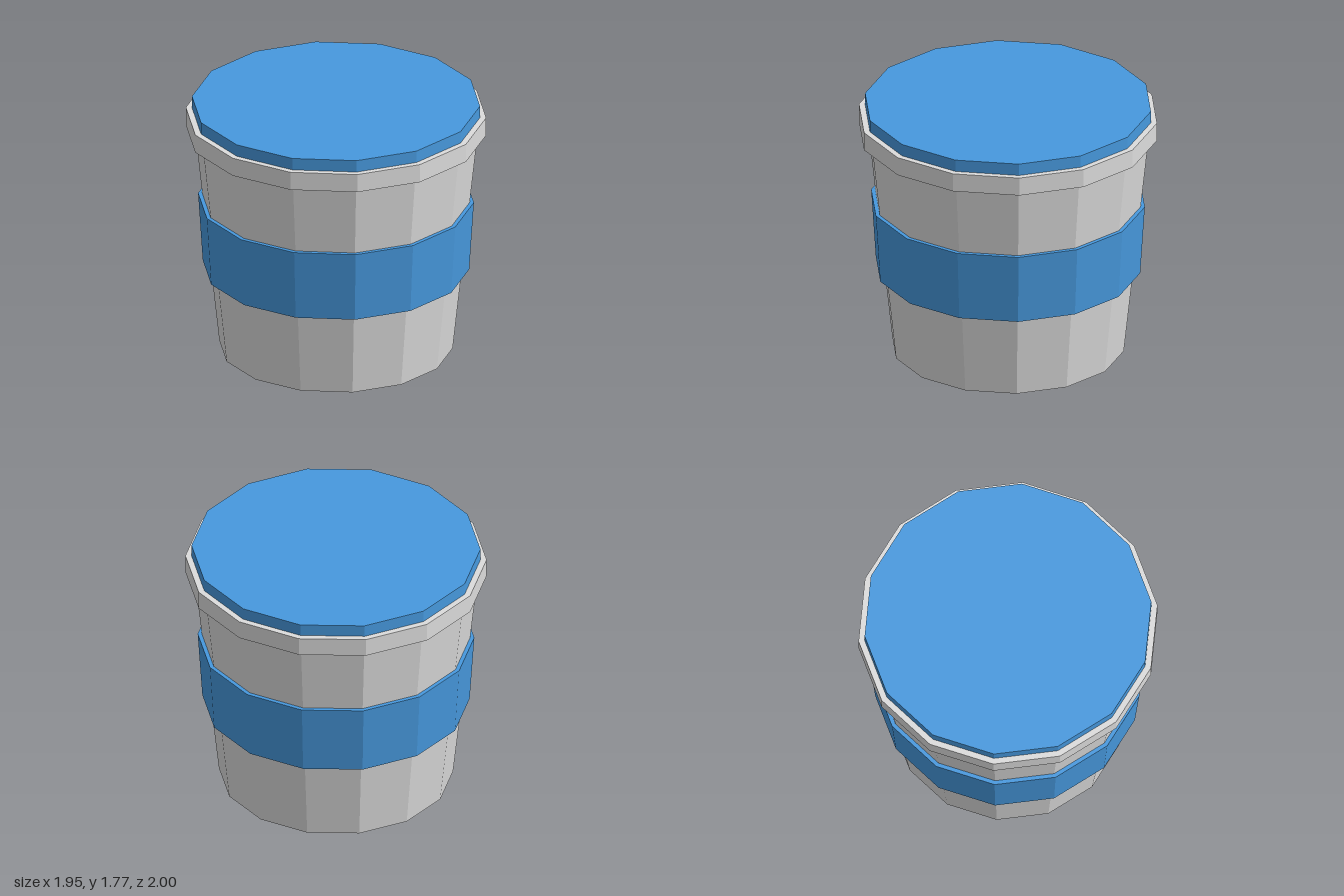
import * as THREE from 'three';

const SIDES = 14;

export function createModel() {
  const group = new THREE.Group();
  const grey = new THREE.MeshStandardMaterial({ color: 0xdcdcdc, flatShading: true });
  grey.name = 'light grey';
  const blue = new THREE.MeshStandardMaterial({ color: 0x4799de, flatShading: true });
  blue.name = 'blue';

  // Tapered ring of the cup, from height y0 to y1 with radii r0 and r1
  function addSection(name, material, y0, y1, r0, r1) {
    const geometry = new THREE.CylinderGeometry(r1, r0, y1 - y0, SIDES);
    geometry.translate(0, (y0 + y1) / 2, 0);
    const mesh = new THREE.Mesh(geometry, material);
    mesh.name = name;
    group.add(mesh);
  }

  addSection('cupBody', grey, 0, 1.565, 0.777, 0.943);
  addSection('sleeveBand', blue, 0.58, 1.068, 0.887, 0.918);
  addSection('lidRim', grey, 1.562, 1.69, 1, 1);
  addSection('lidTop', blue, 1.69, 1.773, 0.959, 0.959);

  group.name = 'cup';
  return group;
}
